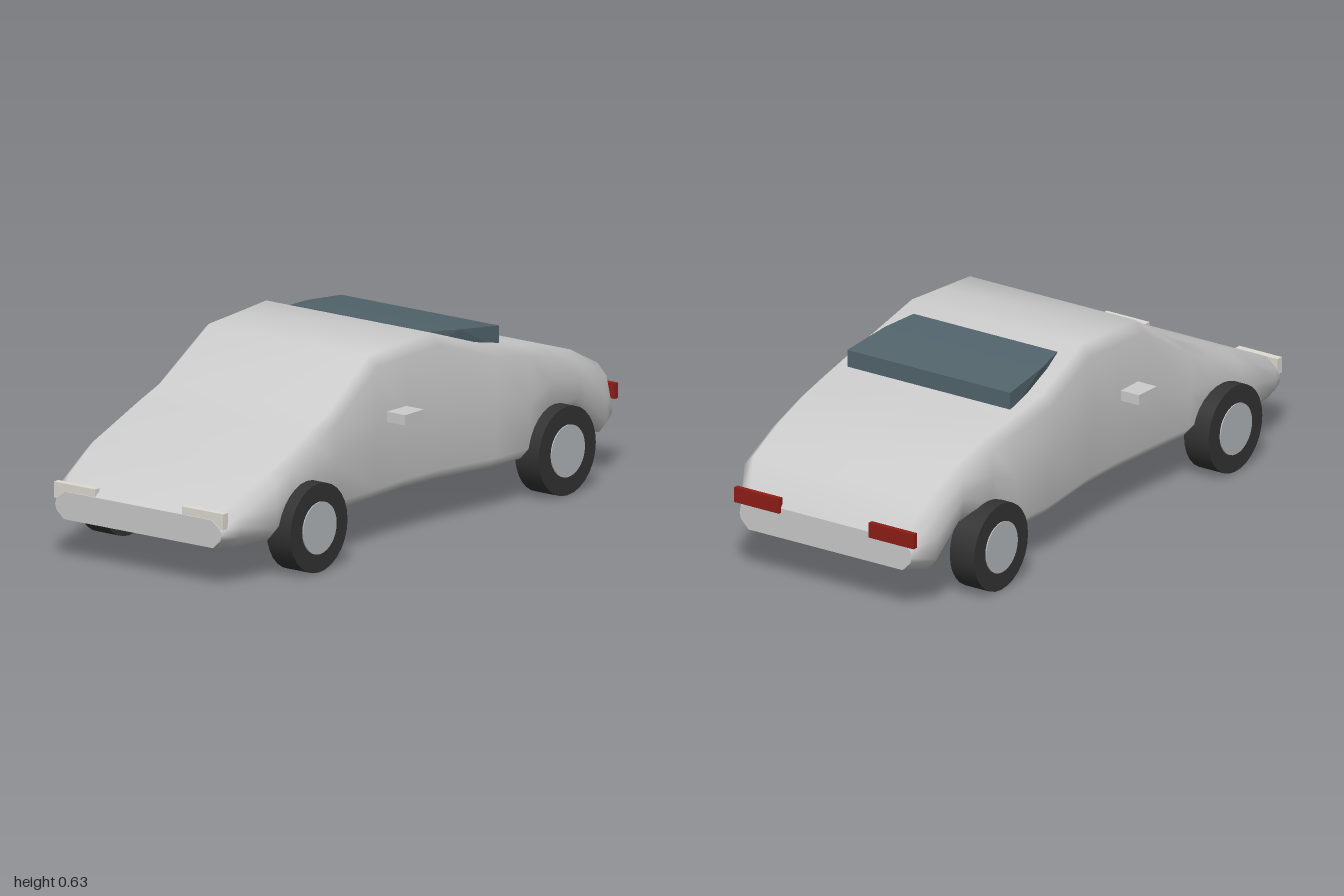
import * as THREE from 'three';
import { ConvexGeometry } from 'three/addons/geometries/ConvexGeometry.js';

const paint = (color) => new THREE.MeshStandardMaterial({ color });

// Body stations from nose to tail: [z, half width, underside y, top y]
const STATIONS = [
  [0.995, 0.335, 0.135, 0.225],
  [0.93, 0.365, 0.13, 0.27],
  [0.78, 0.388, 0.13, 0.34],
  [0.7, 0.385, 0.17, 0.372],
  [0.56, 0.378, 0.18, 0.43],
  [0.46, 0.373, 0.15, 0.468],
  [0.23, 0.362, 0.15, 0.615],
  [0.08, 0.366, 0.155, 0.622],
  [-0.07, 0.37, 0.153, 0.63],
  [-0.32, 0.398, 0.145, 0.545],
  [-0.5, 0.392, 0.14, 0.508],
  [-0.62, 0.384, 0.245, 0.485],
  [-0.77, 0.379, 0.25, 0.437],
  [-0.91, 0.378, 0.14, 0.365],
  [-0.99, 0.335, 0.15, 0.25],
];

// Boxy cross-section with bevelled corners, counter-clockwise from the front
function section([z, w, yb, yt]) {
  const h = yt - yb;
  const c = Math.min(0.035, h * 0.3);
  const half = [
    [w - 0.035, yb],
    [w - 0.005, yb + c],
    [w, yb + h * 0.5],
    [w - 0.005, yt - c],
    [w - 0.04, yt],
  ];
  const mirrored = half.map(([x, y]) => [-x, y]).reverse();
  return [...half, ...mirrored].map(([x, y]) => new THREE.Vector3(x, y, z));
}

function loft(rings) {
  const n = rings[0].length;
  const index = [];
  for (let i = 0; i < rings.length - 1; i++) {
    for (let j = 0; j < n; j++) {
      const a = i * n + j, b = i * n + ((j + 1) % n);
      index.push(a, a + n, b, b, a + n, b + n);
    }
  }
  const geo = new THREE.BufferGeometry().setFromPoints(rings.flat());
  geo.setIndex(index);
  geo.computeVertexNormals();
  return geo;
}

function cap(ring, reverse) {
  const geo = new THREE.BufferGeometry().setFromPoints(ring);
  const index = [];
  for (let j = 1; j < ring.length - 1; j++) {
    index.push(...(reverse ? [0, j + 1, j] : [0, j, j + 1]));
  }
  geo.setIndex(index);
  geo.computeVertexNormals();
  return geo;
}

export function createModel() {
  const car = new THREE.Group();
  car.name = 'car';
  const grey = paint(0xcccccc);
  const rubber = paint(0x333333);
  const rim = paint(0xb4b8bc);
  const lamp = paint(0xdedbd2);
  const red = paint(0x8f1d18);
  const glass = paint(0x52646c);

  const add = (name, geo, mat, x = 0, y = 0, z = 0) => {
    const mesh = new THREE.Mesh(geo, mat);
    mesh.name = name;
    mesh.position.set(x, y, z);
    car.add(mesh);
    return mesh;
  };

  // Body shell with closed nose and tail
  const rings = STATIONS.map(section);
  add('body', loft(rings), grey);
  add('nosePanel', cap(rings[0], false), grey);
  add('tailPanel', cap(rings[rings.length - 1], true), grey);

  // Rear window: a wedge standing proud of the sloping back
  const corners = [];
  for (const s of [-1, 1]) {
    corners.push(
      [s * 0.28, 0.612, -0.13], [s * 0.305, 0.6, -0.25], [s * 0.317, 0.578, -0.435],
      [s * 0.28, 0.56, -0.13], [s * 0.317, 0.505, -0.435],
    );
  }
  add('rearWindow', new ConvexGeometry(corners.map((p) => new THREE.Vector3(...p))), glass);

  // Wheels, lights and mirrors on both sides
  const tyre = new THREE.CylinderGeometry(0.145, 0.145, 0.095, 28).rotateZ(Math.PI / 2);
  const hub = new THREE.CylinderGeometry(0.085, 0.085, 0.103, 28).rotateZ(Math.PI / 2);
  for (const [side, s] of [['left', 1], ['right', -1]]) {
    for (const [end, z] of [['Front', 0.62], ['Rear', -0.64]]) {
      add(`${side}${end}Tyre`, tyre, rubber, s * 0.3825, 0.147, z);
      add(`${side}${end}Hub`, hub, rim, s * 0.3825, 0.147, z);
    }
    add(`${side}Headlight`, new THREE.BoxGeometry(0.166, 0.052, 0.024), lamp, s * 0.258, 0.225, 0.982);
    add(`${side}TailLight`, new THREE.BoxGeometry(0.175, 0.05, 0.018), red, s * 0.262, 0.26, -0.991);
    add(`${side}Mirror`, new THREE.BoxGeometry(0.085, 0.034, 0.096), grey, s * 0.393, 0.412, 0.142);
  }
  return car;
}
